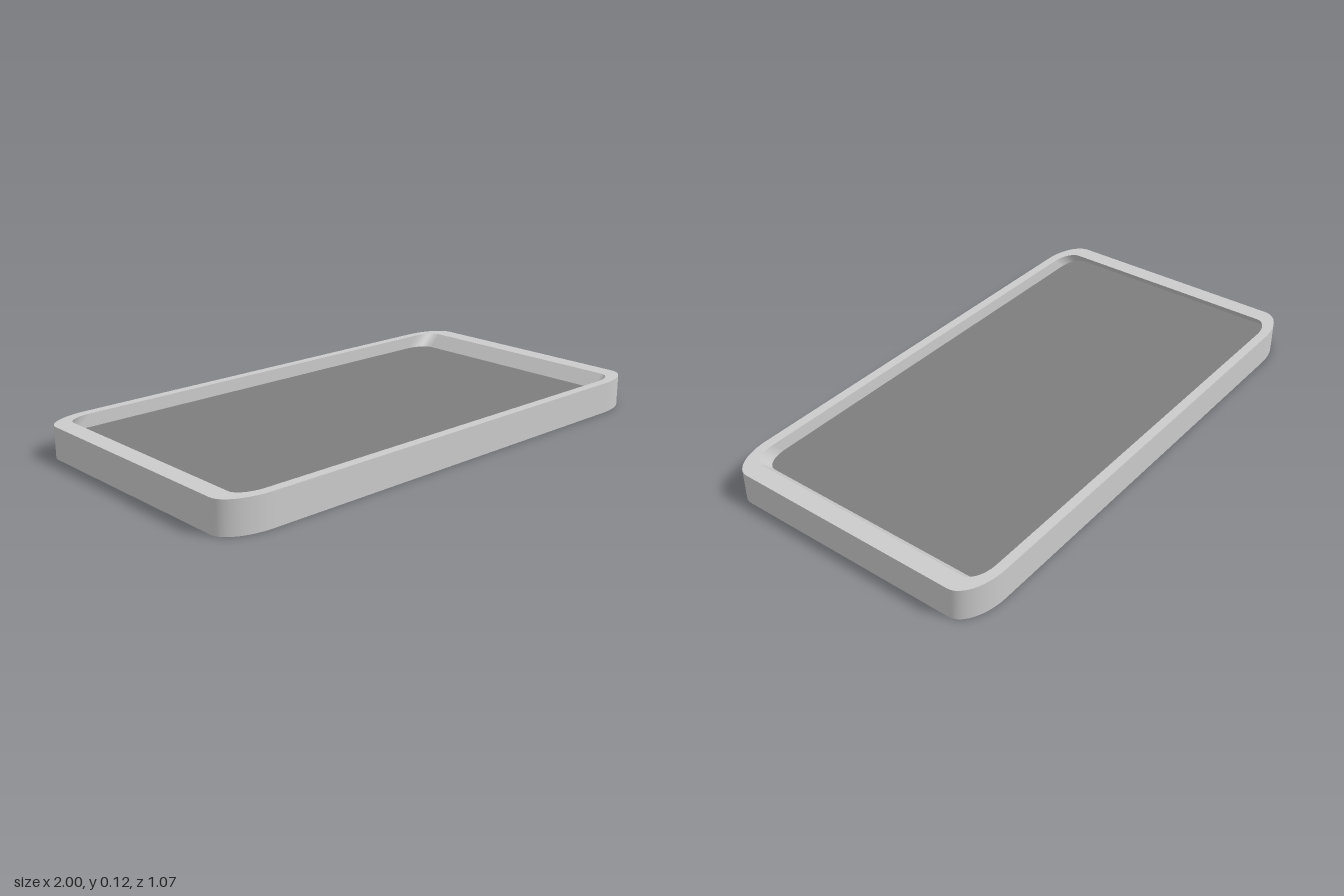
import * as THREE from 'three';

const HEIGHT = 0.12, DEPTH = 0.05;

// Counter-clockwise rectangle outline with elliptical corners
function outline(halfX, halfY, rx, ry, shiftX = 0, steps = 12) {
  const points = [];
  [[1, 1], [-1, 1], [-1, -1], [1, -1]].forEach(([sx, sy], corner) => {
    for (let i = 0; i <= steps; i++) {
      const a = (corner + i / steps) * Math.PI / 2;
      points.push(new THREE.Vector2(
        shiftX + sx * (halfX - rx) + rx * Math.cos(a),
        sy * (halfY - ry) + ry * Math.sin(a)));
    }
  });
  return points;
}

// Smooth wall joining two matching outlines at two heights
function wall(ringA, yA, ringB, yB) {
  const n = ringA.length, positions = [], index = [];
  for (const p of ringA) positions.push(p.x, yA, -p.y);
  for (const p of ringB) positions.push(p.x, yB, -p.y);
  for (let i = 0; i < n; i++) {
    const j = (i + 1) % n;
    index.push(i, j, n + j, i, n + j, n + i);
  }
  const geometry = new THREE.BufferGeometry();
  geometry.setAttribute('position', new THREE.Float32BufferAttribute(positions, 3));
  geometry.setIndex(index);
  geometry.computeVertexNormals();
  return geometry;
}

// Flat horizontal face, optionally with a hole
function face(ring, y, hole) {
  const shape = new THREE.Shape(ring);
  if (hole) shape.holes.push(new THREE.Path(hole));
  return new THREE.ShapeGeometry(shape).rotateX(-Math.PI / 2).translate(0, y, 0);
}

export function createModel() {
  const group = new THREE.Group();
  const grey = new THREE.MeshStandardMaterial({ color: 0xcccccc });
  const dark = new THREE.MeshStandardMaterial({ color: 0x7d7d7d });
  const add = (name, geometry, material = grey) => {
    const mesh = new THREE.Mesh(geometry, material);
    mesh.name = name;
    group.add(mesh);
    return mesh;
  };

  const outer = outline(1, 0.533, 0.17, 0.09);
  const opening = outline(0.93, 0.497, 0.1, 0.055);
  // The recess leans toward -x, undercutting the rim at that end
  const floor = outline(0.93, 0.497, 0.1, 0.055, -0.05);

  add('outerWall', wall(outer, 0, outer, HEIGHT));
  add('rim', face(outer, HEIGHT, opening));
  add('recessWall', wall(opening, HEIGHT, floor, HEIGHT - DEPTH));
  add('recessFloor', face(floor, HEIGHT - DEPTH), dark);

  // Underside, turned over to face down
  add('base', face(outer, 0).rotateX(Math.PI));
  return group;
}
